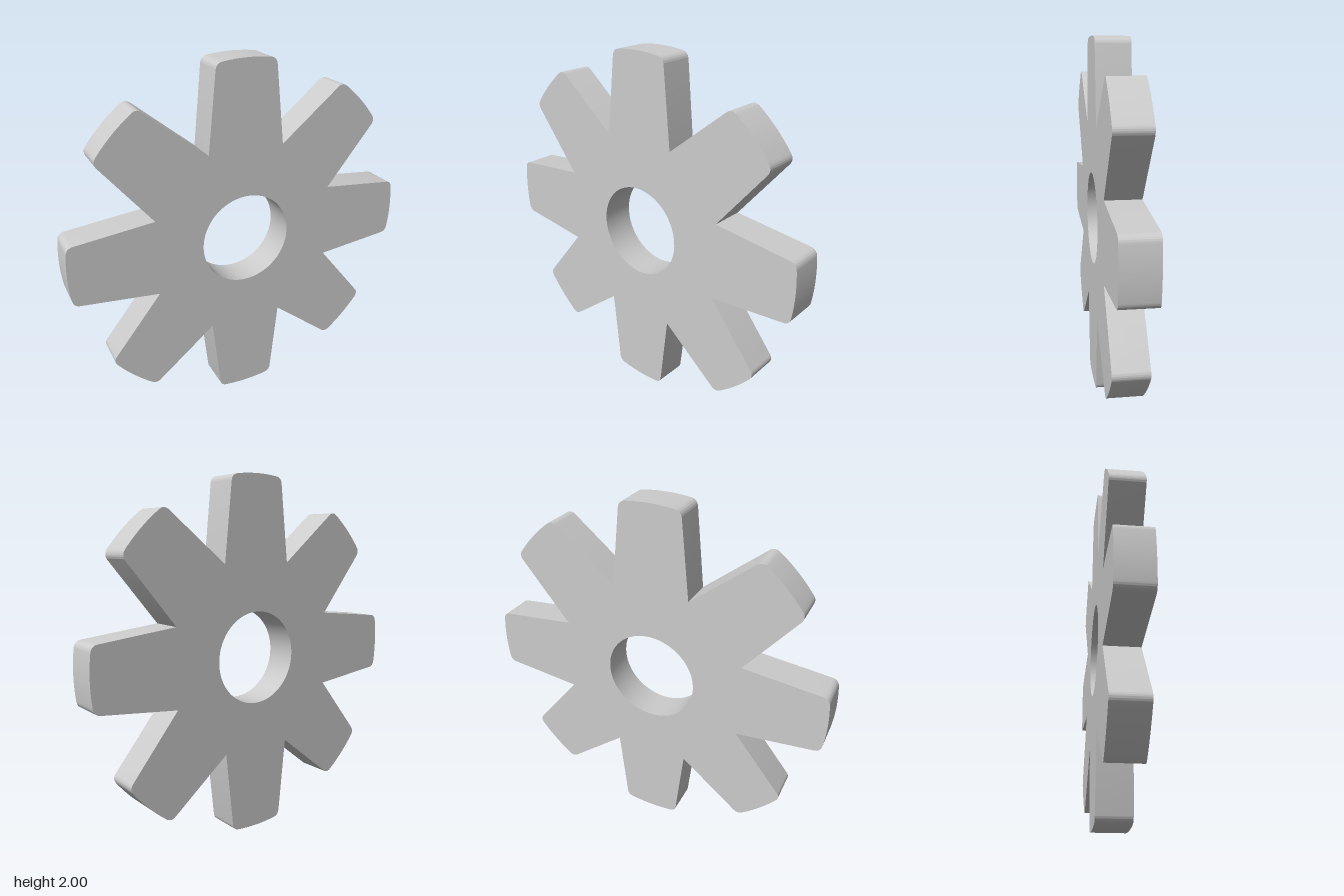
import * as THREE from 'three';
import { toCreasedNormals } from 'three/addons/utils/BufferGeometryUtils.js';

const TEETH = 8;
const OUTER = 1, ROOT = 0.567, HOLE = 0.26, DEPTH = 0.19;
const HALF_TIP = 0.169;  // half angle of a tooth tip
const ROUND = 0.035;     // corner rounding length

const polar = (r, a) => new THREE.Vector2(r * Math.cos(a), r * Math.sin(a));

// Outline of tapered teeth with rounded tip corners, plus the centre bore
function wheelShape() {
  const shape = new THREE.Shape();
  const step = (2 * Math.PI) / TEETH;
  for (let i = 0; i < TEETH; i++) {
    const mid = i * step;
    const rootA = polar(ROOT, mid - step / 2), rootB = polar(ROOT, mid + step / 2);
    const tipA = polar(OUTER, mid - HALF_TIP), tipB = polar(OUTER, mid + HALF_TIP);
    const flankA = tipA.clone().lerp(rootA, ROUND / tipA.distanceTo(rootA));
    const flankB = tipB.clone().lerp(rootB, ROUND / tipB.distanceTo(rootB));
    const arc = HALF_TIP - ROUND;
    const arcStart = polar(OUTER, mid - arc);

    if (i === 0) shape.moveTo(rootA.x, rootA.y);
    shape.lineTo(flankA.x, flankA.y);
    shape.quadraticCurveTo(tipA.x, tipA.y, arcStart.x, arcStart.y);
    shape.absarc(0, 0, OUTER, mid - arc, mid + arc, false);
    shape.quadraticCurveTo(tipB.x, tipB.y, flankB.x, flankB.y);
    if (i < TEETH - 1) shape.lineTo(rootB.x, rootB.y);
  }
  shape.closePath();

  const bore = new THREE.Path();
  bore.absarc(0, 0, HOLE, 0, Math.PI * 2, true);
  shape.holes.push(bore);
  return shape;
}

export function createModel() {
  const group = new THREE.Group();
  group.name = 'gear';

  const extruded = new THREE.ExtrudeGeometry(wheelShape(), {
    depth: DEPTH, bevelEnabled: false, curveSegments: 32,
  });
  extruded.translate(0, 0, -DEPTH / 2);

  const wheel = new THREE.Mesh(
    toCreasedNormals(extruded, 0.5),
    new THREE.MeshStandardMaterial({ color: 0xcccccc })
  );
  wheel.name = 'toothedWheel';
  wheel.position.y = OUTER;
  group.add(wheel);
  return group;
}
